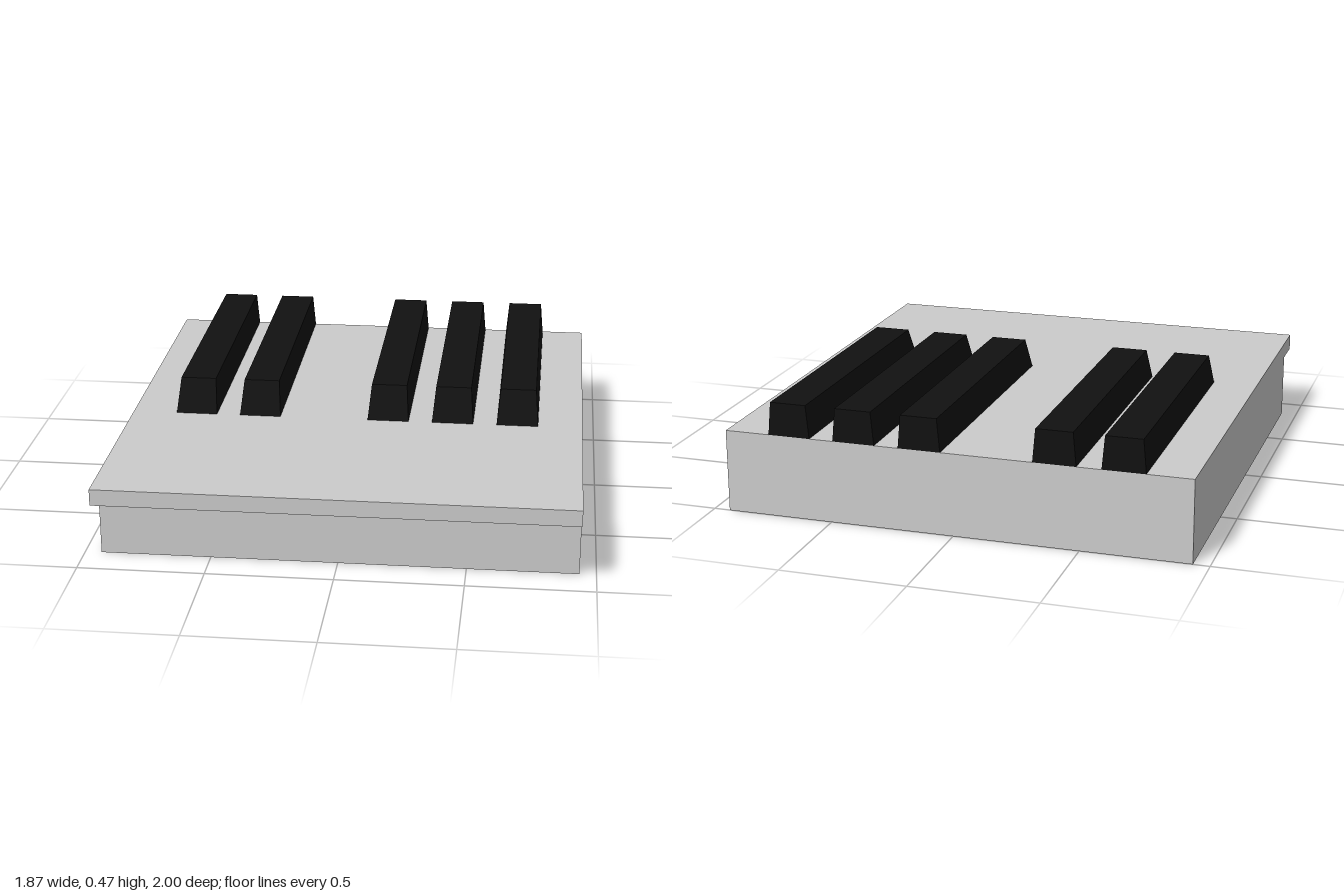
import * as THREE from 'three';

const WIDTH = 1.87, PITCH = WIDTH / 7;
const DECK = 0.333, TOP = 0.467;

// White keybed: side profile (z, y) with a front lip, extruded across x
function keybedGeometry() {
  const profile = new THREE.Shape([
    [-1, 0], [0.855, 0], [0.855, 0.267], [1, 0.267], [1, DECK], [-1, DECK],
  ].map(([z, y]) => new THREE.Vector2(z, y)));
  const geometry = new THREE.ExtrudeGeometry(profile, { depth: WIDTH, bevelEnabled: false });
  return geometry.rotateY(-Math.PI / 2).translate(WIDTH / 2, 0, 0);
}

// Black key: a box whose top narrows at the sides and slopes back at the front
function blackKeyGeometry() {
  const geometry = new THREE.BoxGeometry(2, 1, 1);
  const p = geometry.attributes.position;
  for (let i = 0; i < p.count; i++) {
    const top = p.getY(i) > 0, front = p.getZ(i) > 0;
    p.setXYZ(i,
      p.getX(i) * (top ? 0.073 : 0.085),
      top ? TOP : DECK,
      front ? (top ? 0.12 : 0.185) : -1);
  }
  geometry.computeVertexNormals();
  return geometry;
}

export function createModel() {
  const model = new THREE.Group();
  model.name = 'pianoOctave';

  const white = new THREE.MeshStandardMaterial({ color: 0xcccccc, flatShading: true });
  const black = new THREE.MeshStandardMaterial({ color: 0x111111, flatShading: true });

  const keybed = new THREE.Mesh(keybedGeometry(), white);
  keybed.name = 'whiteKeys';
  model.add(keybed);

  // Groups of two and three black keys, on the white key boundaries
  const blackKeys = new THREE.Group();
  blackKeys.name = 'blackKeys';
  const keyGeometry = blackKeyGeometry();
  [-2.5, -1.5, 0.5, 1.5, 2.5].forEach((step, i) => {
    const key = new THREE.Mesh(keyGeometry, black);
    key.name = `blackKey${i + 1}`;
    key.position.x = step * PITCH;
    blackKeys.add(key);
  });
  model.add(blackKeys);

  return model;
}
